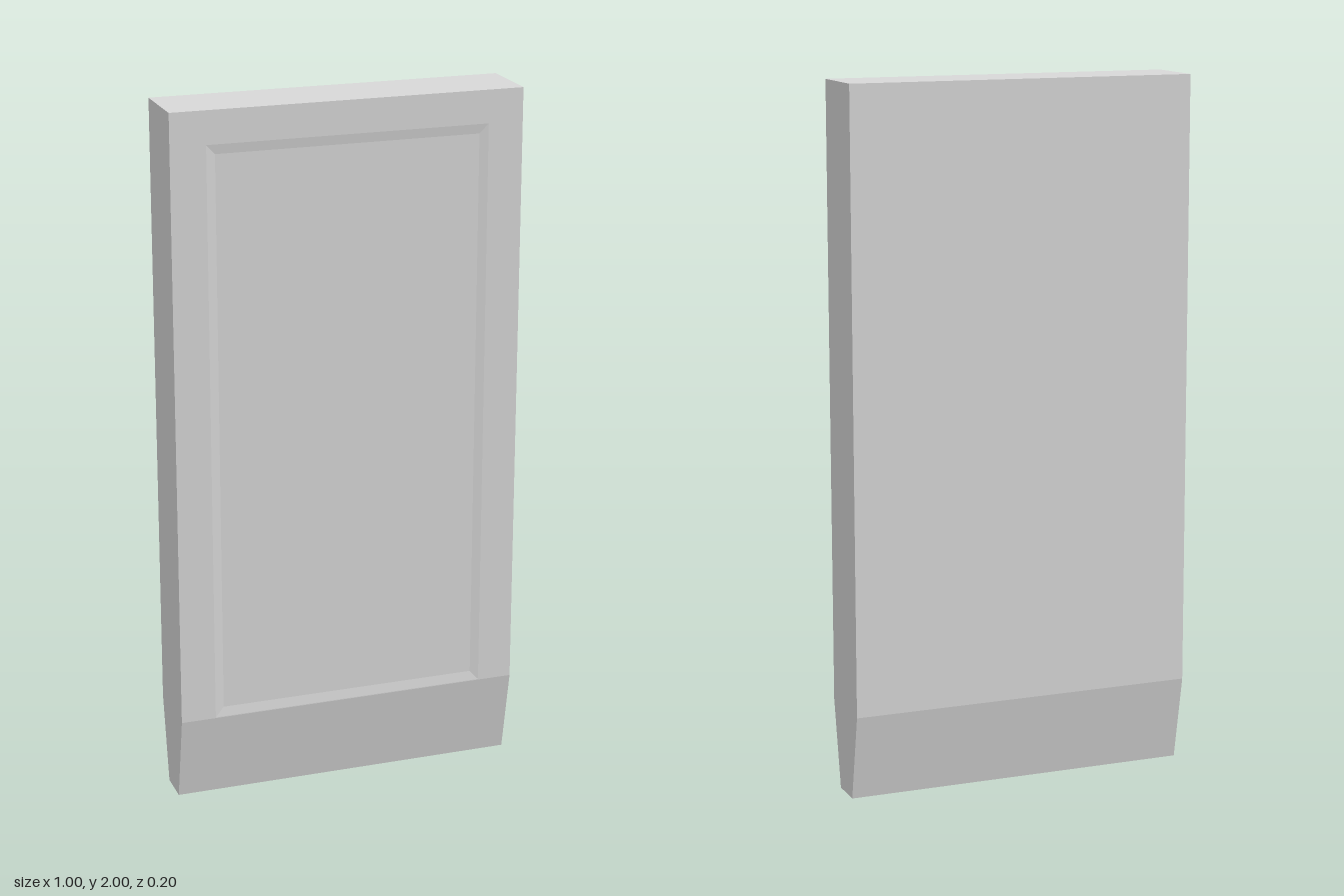
import * as THREE from 'three';

// Flat-faced geometry from quads, corners counter-clockwise seen from outside
function quadGeometry(quads) {
  const points = quads.flatMap(([a, b, c, d]) => [a, b, c, a, c, d]);
  const geometry = new THREE.BufferGeometry();
  geometry.setAttribute('position', new THREE.Float32BufferAttribute(points.flat(), 3));
  geometry.computeVertexNormals();
  return geometry;
}

// Quads joining two four-cornered loops
function bridge(a, b) {
  return a.map((p, i) => {
    const j = (i + 1) % 4;
    return [p, a[j], b[j], b[i]];
  });
}

// Horizontal section of the slab, first side along the front
const section = (y, z) => [[-0.5, y, z], [0.5, y, z], [0.5, y, -z], [-0.5, y, -z]];

// Upright rectangle facing the front
const frame = (x, y0, y1, z) => [[-x, y0, z], [x, y0, z], [x, y1, z], [-x, y1, z]];

function makeMaterial(name, color) {
  const material = new THREE.MeshStandardMaterial({ color });
  material.name = name;
  return material;
}

export function createModel() {
  const group = new THREE.Group();
  const grey = makeMaterial('light grey', 0xd8d8d8);
  const black = makeMaterial('black', 0x000000);

  const add = (name, quads, material) => {
    const mesh = new THREE.Mesh(quadGeometry(quads), material);
    mesh.name = name;
    group.add(mesh);
  };

  const foot = section(0, 0.05);
  const shoulder = section(0.25, 0.1);
  const top = section(2, 0.1);

  // Tapered foot and its black underside
  add('taperedFoot', bridge(foot, shoulder), grey);
  add('underside', [[...foot].reverse()], black);

  // Sides, back and top of the slab; the front is closed by the border and panel
  add('slab', [...bridge(shoulder, top).slice(1), top], grey);

  // Flat border, sloping bevel and shallow sunken panel
  const edge = frame(0.5, 0.25, 2, 0.1);
  const rim = frame(0.4, 0.252, 1.907, 0.1);
  const floor = frame(0.375, 0.28, 1.88, 0.096);
  add('frontBorder', bridge(edge, rim), grey);
  add('panelBevel', bridge(rim, floor), grey);
  add('sunkenPanel', [floor], grey);

  return group;
}
